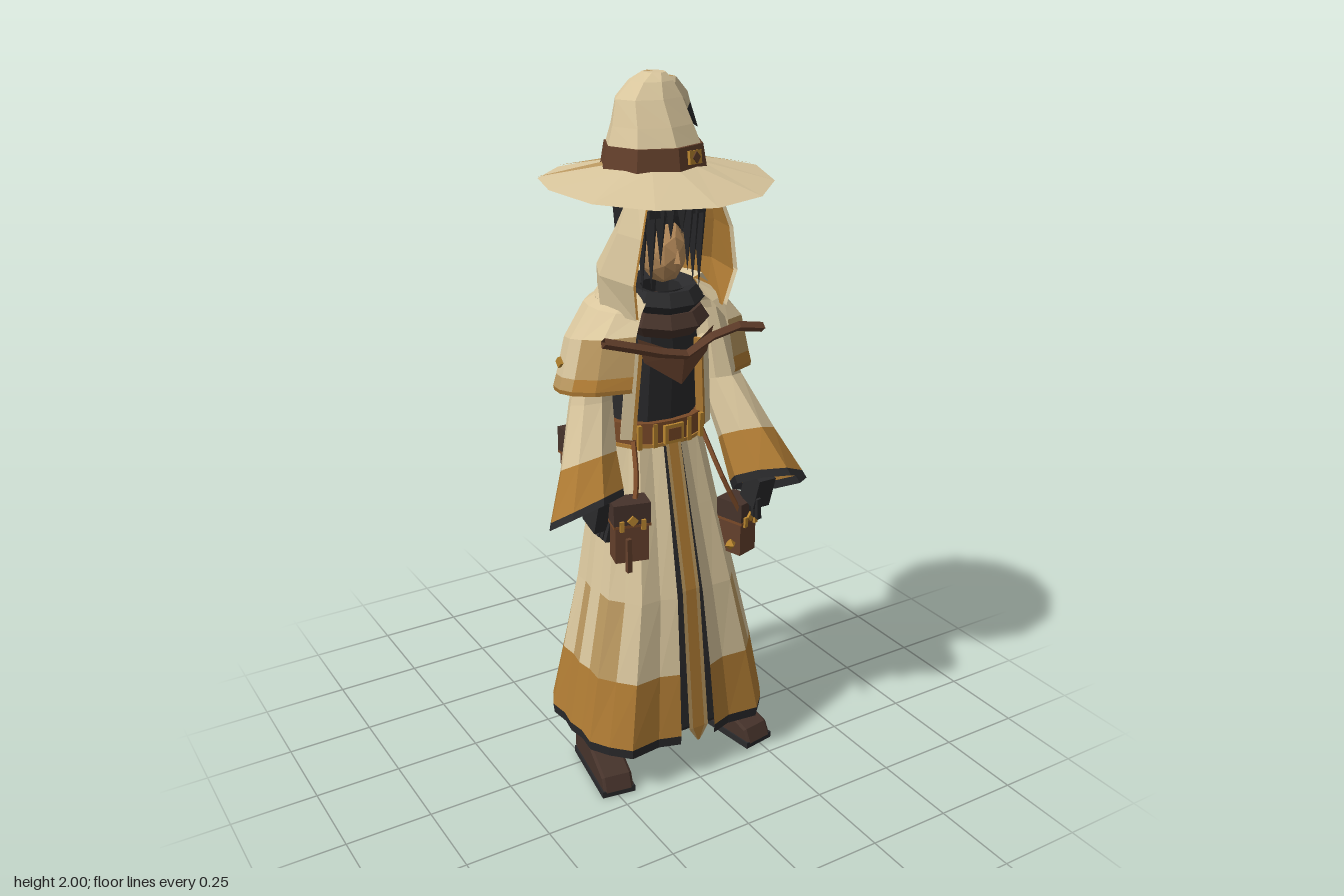
import * as THREE from 'three';

const mat = (name, color, side = THREE.FrontSide) =>
  new THREE.MeshStandardMaterial({ name, color, side, flatShading: true });
const D = THREE.DoubleSide;
const cream = mat('cream cloth', 0xd9c69d, D), tan = mat('tan cloth', 0xba9860, D);
const ochre = mat('ochre cloth', 0xb07c34, D), black = mat('black cloth', 0x2a2a2c, D);
const brown = mat('brown leather', 0x64402c, D), dark = mat('dark leather', 0x46332b, D);
const belt = mat('belt leather', 0x7a4a28, D);
const gold = mat('gold metal', 0xb8852f), skin = mat('skin', 0xb98d5c);

const V = (x, y, z) => new THREE.Vector3(x, y, z);

// Faceted sheet of nu x nv quads; pick(i, j) gives the material of each quad
function sheet(name, nu, nv, point, pick) {
  const group = new THREE.Group(), lists = new Map();
  group.name = name;
  for (let j = 0; j < nv; j++) for (let i = 0; i < nu; i++) {
    const m = pick(i, j);
    if (!lists.has(m)) lists.set(m, []);
    const a = point(i, j), b = point(i + 1, j), c = point(i + 1, j + 1), d = point(i, j + 1);
    lists.get(m).push(a, d, b, b, d, c);
  }
  for (const [m, pts] of lists) {
    const g = new THREE.BufferGeometry().setFromPoints(pts);
    g.computeVertexNormals();
    group.add(part(`${name} ${m.name}`, g, m));
  }
  return group;
}

function part(name, geo, m, x = 0, y = 0, z = 0, rx = 0, ry = 0, rz = 0) {
  const mesh = new THREE.Mesh(geo, m);
  mesh.name = name;
  mesh.position.set(x, y, z);
  mesh.rotation.set(rx, ry, rz);
  return mesh;
}
const box = (w, h, d) => new THREE.BoxGeometry(w, h, d);
const strap = (pts, r) => new THREE.TubeGeometry(new THREE.CatmullRomCurve3(pts), 6, r, 4);

// Rounded-rectangle ring point, squarer as p grows; angle 0 faces the front
function oval(a, rx, rz, y, cz, p = 2.5) {
  const s = Math.sin(a), c = Math.cos(a);
  const k = (Math.abs(s) ** p + Math.abs(c) ** p) ** (-1 / p);
  return V(s * k * rx, y, cz + c * k * rz);
}

// Rows: [y, half width, half depth, centre z, squareness]
const robeRows = [[1.03, .145, .125, -.045, 2.4], [.82, .178, .155, -.025, 2.7], [.58, .22, .19, -.005, 3.2],
  [.35, .266, .215, 0, 4], [.155, .3, .235, 0, 5], [.125, .297, .232, 0, 5]];

function robe() {
  const g = new THREE.Group(), n = 26, gap = .19;
  g.name = 'robe';
  // Pleats are deep at front and back, shallow at the sides
  g.add(sheet('pleated skirt', n, 5, (i, j) => {
    const [y, rx, rz, cz, p] = robeRows[j];
    const a = gap + (2 * Math.PI - 2 * gap) * i / n;
    const k = i % 2 ? 1 - .025 - .07 * Math.cos(a) ** 2 : 1;
    return oval(a, rx * k, rz * k, y, cz, p);
  }, (i, j) => {
    const h = (i * 7 + 3) % 5, back = Math.abs(i - 12.5) < 2, front = i < 2 || i > 23;
    if (j === 4) return black;
    if (j === 3) return ochre;
    if (j === 2) return back ? ochre : h < 3 && !front ? tan : cream;
    if (j === 1) return back ? (i % 2 ? ochre : tan) : cream;
    return cream;
  }));
  g.add(sheet('inner skirt', 20, 6, (i, j) => {
    const [y, rx, rz, cz, p] = robeRows[Math.min(j, 5)];
    const k = j === 6 ? 0 : .86;
    return oval(Math.PI * i / 10, rx * k, rz * k, y + (j > 4 ? .02 : 0), cz, p);
  }, () => black));
  // Front panel ending in a point
  const rows = [[1.02, .024, .088], [.6, .028, .188], [.17, .032, .238], [.125, .004, .238]];
  g.add(sheet('front panel', 3, 3, (i, j) => {
    const [y, w, z] = rows[j];
    return V(w * [-1, -.6, .6, 1][i], y, z);
  }, i => i === 1 ? ochre : tan));
  return g;
}

function cape() {
  const rows = [[1.45, .115, .1], [1.41, .195, .135], [1.33, .252, .165], [1.225, .278, .175], [1.192, .288, .178], [1.18, .286, .176]];
  const n = 14, gap = .56;
  return sheet('shoulder cape', n, 5, (i, j) => {
    const a = gap + (2 * Math.PI - 2 * gap) * i / n, [y, rx, rz] = rows[j];
    return oval(a, rx, rz, y + (j > 1 ? .035 * Math.cos(a) : 0), -.015, 2.6);
  }, (i, j) => {
    const front = i < 2 || i > 11, back = i > 4 && i < 9;
    return j === 4 ? ochre : j === 3 ? (front ? ochre : back ? cream : tan) : j === 2 && front ? tan : cream;
  });
}

// Side curtain of the hood, front edge to back edge, top to bottom
function hoodSide(s) {
  const rows = [[1.745, .10, .13, .115, .09, .105, .06], [1.62, .14, .155, .155, .06, .12, -.01],
    [1.5, .16, .15, .183, .01, .13, -.1], [1.4, .14, .13, .175, 0, .10, -.15]];
  const at = (k, inset) => (i, j) => {
    const r = rows[j];
    return V(s * (r[1 + 2 * i] * k - inset), r[0], r[2 + 2 * i] - inset);
  };
  const g = new THREE.Group();
  g.name = s > 0 ? 'left hood side' : 'right hood side';
  g.add(sheet('hood cloth', 2, 3, at(1, 0), () => cream), sheet('hood lining', 2, 3, at(.97, .005), () => ochre));
  return g;
}

function sleeve(s, cuff) {
  const top = V(s * .18, 1.36, -.02), elbow = V(s * .21, 1.15, 0);
  const mid = elbow.clone().lerp(cuff, .53), end = cuff.clone().lerp(elbow, .07);
  // Rows: centre, radius, tilt, outward droop
  const rows = [[top, .04, 0, 0], [elbow, .066, .25, 0], [mid, .088, .5, .01], [end, .116, .56, .025], [cuff, .119, .56, .025]];
  const g = new THREE.Group();
  g.name = s > 0 ? 'left arm' : 'right arm';
  g.add(sheet('sleeve', 8, 4, (i, j) => {
    const [c, r, t, droop] = rows[j], a = Math.PI * i / 4;
    const d = Math.cos(a) * r;
    return V(c.x + Math.sin(a) * r * .93, c.y + d * Math.sin(t) - s * Math.sin(a) * droop, c.z + d * Math.cos(t));
  }, (i, j) => [cream, cream, ochre, black][j]));
  // Gloved hand with fingers
  g.add(part('glove', box(.055, .1, .07), black, cuff.x - s * .04, cuff.y, cuff.z, .3));
  for (let f = 0; f < 4; f++)
    g.add(part('finger', box(.013, .07, .014), black, cuff.x - s * .055, cuff.y - .055, cuff.z - .035 + f * .02, .15, 0, s * .15));
  return g;
}

function hat() {
  const g = new THREE.Group(), rim = i => {
    const a = Math.PI * i / 6;
    return V(.317 * Math.sin(a), 1.738 - .025 * Math.max(0, Math.cos(a)), .295 * Math.cos(a));
  };
  const inner = (a, r = .13) => V(r * Math.sin(a), 1.775, -.015 + r * .9 * Math.cos(a));
  g.name = 'hat';
  g.add(sheet('brim', 12, 1, (i, j) => j ? rim(i) : inner(Math.PI * i / 6), () => cream));
  // Narrow tan patches on the brim
  for (const [i, w] of [[3, .42], [7, .3], [8, .42]]) {
    const tri = [inner(Math.PI * i / 6), rim(i), inner(Math.PI * i / 6 + w)];
    tri.forEach(p => { p.y += .004; });
    const geo = new THREE.BufferGeometry().setFromPoints(tri);
    geo.computeVertexNormals();
    g.add(part('brim patch', geo, tan));
  }
  const bandGeo = new THREE.CylinderGeometry(.139, .15, .06, 8).scale(1, 1, .9);
  const insideGeo = new THREE.CylinderGeometry(.128, .128, .01, 10).scale(1, 1, .9);
  g.add(part('hat band', bandGeo, brown, 0, 1.798, -.018), part('hat inside', insideGeo, black, 0, 1.764, -.018));
  g.add(part('band buckle', box(.05, .035, .008), gold, .055, 1.8, .098, -.15, .36),
    part('band diamond', box(.022, .022, .008), brown, .057, 1.8, .101, -.15, .36, .78));
  // Crown bends over into a drooping tip; rows: centre, half width, half depth
  const rows = [[0, 1.82, -.018, .137, .12], [0, 1.875, -.025, .118, .098], [0, 1.94, -.04, .1, .073], [.012, 1.98, -.05, .062, .055], [.025, 2, -.055, .03, .035], [.025, 2, -.055, 0, 0]];
  g.add(sheet('crown', 8, 5, (i, j) => {
    const [x, y, z, rx, rz] = rows[j], a = Math.PI * i / 4;
    return V(x + rx * Math.sin(a), y, z + rz * Math.cos(a));
  }, (i, j) => i === 3 && j < 3 || i === 4 && j > 2 ? tan : cream));
  const tip = [[.01, 1.952, -.055, .044], [.065, 1.958, -.055, .037], [.108, 1.925, -.065, .029], [.124, 1.9, -.07, .024], [.178, 1.842, -.082, .001]];
  g.add(sheet('curled tip', 6, 4, (i, j) => {
    const [x, y, z, r] = tip[j], a = Math.PI * i / 3, t = [0, .5, .78, .8, .8][j];
    return V(x + r * Math.sin(a) * Math.sin(t), y + r * Math.sin(a) * Math.cos(t), z + r * Math.cos(a));
  }, (i, j) => j === 3 ? black : i === 1 || i === 4 ? tan : cream));
  return g;
}

function head() {
  const g = new THREE.Group();
  g.name = 'head';
  const face = part('face', new THREE.IcosahedronGeometry(1, 1), skin, 0, 1.55, .03);
  face.scale.set(.062, .09, .075);
  g.add(face, part('nose', new THREE.ConeGeometry(.012, .04, 4), skin, 0, 1.55, .107));
  g.add(part('hair mass', new THREE.CylinderGeometry(.098, .08, .24, 10), black, 0, 1.64, -.025),
    part('fringe', box(.17, .09, .12), black, 0, 1.7, .045));
  // Locks over the face, then round the back
  [[-.09, .27], [-.068, .26], [-.045, .2], [-.02, .13], [.012, .12], [.035, .22], [.058, .26], [.085, .28]].forEach(([x, h]) =>
    g.add(part('front lock', new THREE.ConeGeometry(.026, h, 4), black, x, 1.725 - h / 2, .112 - Math.abs(x) * .4, Math.PI)));
  for (let i = 0; i < 13; i++) {
    const a = 1.3 + (2 * Math.PI - 2.6) * i / 12, h = .24 + .02 * (i * 5 % 3);
    g.add(part('back lock', new THREE.ConeGeometry(.027, h, 4), black,
      .093 * Math.sin(a), 1.75 - h / 2, -.02 + .085 * Math.cos(a), Math.PI));
  }
  return g;
}

function pouch(name, x, y, z, w, h, d, ry = 0) {
  const g = new THREE.Group();
  g.name = name;
  g.position.set(x, y, z);
  g.rotation.y = ry;
  g.add(part('pouch body', box(w, h, d), brown), part('pouch flap', box(w * 1.1, h * .38, d * 1.12), dark, 0, h * .33, 0),
    part('flap edge', box(w * 1.11, .008, d * 1.15), belt, 0, h * .14, 0),
    part('stud', box(.022, .022, .008), gold, 0, h * .24, d * .56 + .003, 0, 0, .785));
  for (const s of [-1, 1])
    g.add(part('pouch buckle', box(.012, .03, .008), gold, s * w * .32, h * .16, d * .575 + .002));
  return g;
}

function boot(s) {
  const g = new THREE.Group();
  g.name = s > 0 ? 'left leg' : 'right leg';
  const shape = new THREE.Shape([[-.05, .02], [-.048, .085], [-.02, .115], [.03, .11], [.1, .08], [.18, .052], [.196, .02]].map(p => new THREE.Vector2(...p)));
  const upper = new THREE.ExtrudeGeometry(shape, { depth: .075, bevelEnabled: true, bevelSize: .006, bevelThickness: .008, bevelSegments: 1 });
  upper.translate(0, 0, -.0375).rotateY(-Math.PI / 2);
  g.add(part('boot', upper, dark), part('sole', box(.1, .02, .252), black, 0, .01, .075),
    part('leg', new THREE.CylinderGeometry(.05, .042, .2, 6), black, -s * .015, .18, -.005));
  g.position.set(s * .215, 0, 0);
  g.rotation.y = s * .16;
  return g;
}

export function createModel() {
  const model = new THREE.Group();
  model.name = 'robed wanderer';
  model.add(hat(), head(), robe(), cape());
  for (const s of [-1, 1]) {
    model.add(hoodSide(s), boot(s));
    // Narrow lapel beside the open chest
    model.add(part('lapel', box(.035, .26, .02), cream, s * .118, 1.17, .055, 0, s * .5, s * .08),
      part('lapel trim', box(.01, .26, .024), ochre, s * .1, 1.17, .064, 0, s * .5, s * .08));
    model.add(part('cape side stud', box(.009, .022, .022), gold, s * .27, 1.255, -.06, .785));
  }
  model.add(sleeve(1, V(.27, .862, .175)), sleeve(-1, V(-.272, .862, .08)));

  // Torso, scarf and rolled collar
  model.add(sheet('torso', 12, 2, (i, j) => oval(Math.PI * i / 6, [.105, .125, .13][j], [.09, .115, .115][j], [1.45, 1.25, 1.03][j], [-.01, -.03, -.045][j]), () => black));
  for (const [y, r, m] of [[1.43, .085, black], [1.375, .098, dark]])
    model.add(part('scarf fold', new THREE.TorusGeometry(r, .035, 5, 10), m, 0, y, .02, Math.PI / 2 + .1));
  model.add(part('rolled collar', new THREE.TorusGeometry(.135, .036, 5, 10, Math.PI), cream, 0, 1.425, 0, -Math.PI / 2));

  // Brown neckerchief and strap with loose ends
  model.add(sheet('neckerchief', 2, 1, (i, j) => j ? V([-.1, 0, .1][i], [1.27, 1.2, 1.27][i], [.1, .13, .1][i])
    : V([-.12, 0, .12][i], [1.34, 1.29, 1.34][i], [.1, .145, .1][i]), () => brown));
  model.add(part('chest strap', strap([V(-.25, 1.365, .15), V(-.12, 1.325, .155), V(0, 1.29, .15), V(.12, 1.345, .155), V(.25, 1.325, .145)], .014), brown));

  // Belt with raised edges, loops and buckle
  const ring = (name, y, h, k, m) => sheet(name, 16, 2, (i, j) =>
    oval(Math.PI * i / 8, (j === 2 ? .13 : .15) * k, (j === 2 ? .11 : .13) * k, y + (j ? h : -h) / 2, -.045), () => m);
  model.add(ring('belt', 1.045, .07, 1, belt), ring('belt upper edge', 1.077, .01, 1.03, belt), ring('belt lower edge', 1.015, .01, 1.03, ochre));
  for (const x of [-.1, -.055, .055, .1]) model.add(part('belt loop', box(.012, .07, .012), gold, x, 1.045, .089 - Math.abs(x) * .15));
  model.add(part('buckle', box(.06, .055, .012), gold, 0, 1.045, .09), part('buckle centre', box(.04, .035, .014), belt, 0, 1.045, .092));

  // Hanging pouches
  model.add(pouch('right back pouch', -.115, .865, -.243, .1, .205, .07, Math.PI), pouch('left back pouch', .145, .865, -.243, .1, .205, .07, Math.PI),
    pouch('right front pouch', -.178, .82, .15, .095, .17, .06, -.25), pouch('left front pouch', .2, .73, .12, .07, .16, .08, .3));
  model.add(part('right pouch strap', strap([V(-.11, 1.03, .06), V(-.14, .95, .125), V(-.175, .87, .17)], .008), belt),
    part('left pouch strap', strap([V(.11, 1.03, .06), V(.13, .9, .145), V(.19, .77, .16)], .008), belt),
    part('charm', new THREE.OctahedronGeometry(.018), gold, .13, .71, .19),
    part('pouch tie', box(.014, .1, .012), brown, -.2, .76, .185));
  for (const x of [-.115, .145]) for (const s of [-1, 1])
    model.add(part('back pouch strap', strap([V(x + s * .012, 1.03, -.175), V(x + s * .025, .995, -.205), V(x + s * .035, .95, -.235)], .008), belt));

  // Diamond stud on the back of the cape
  model.add(part('cape diamond', box(.04, .04, .009), gold, 0, 1.24, -.187, .1, 0, .785));
  return model;
}
